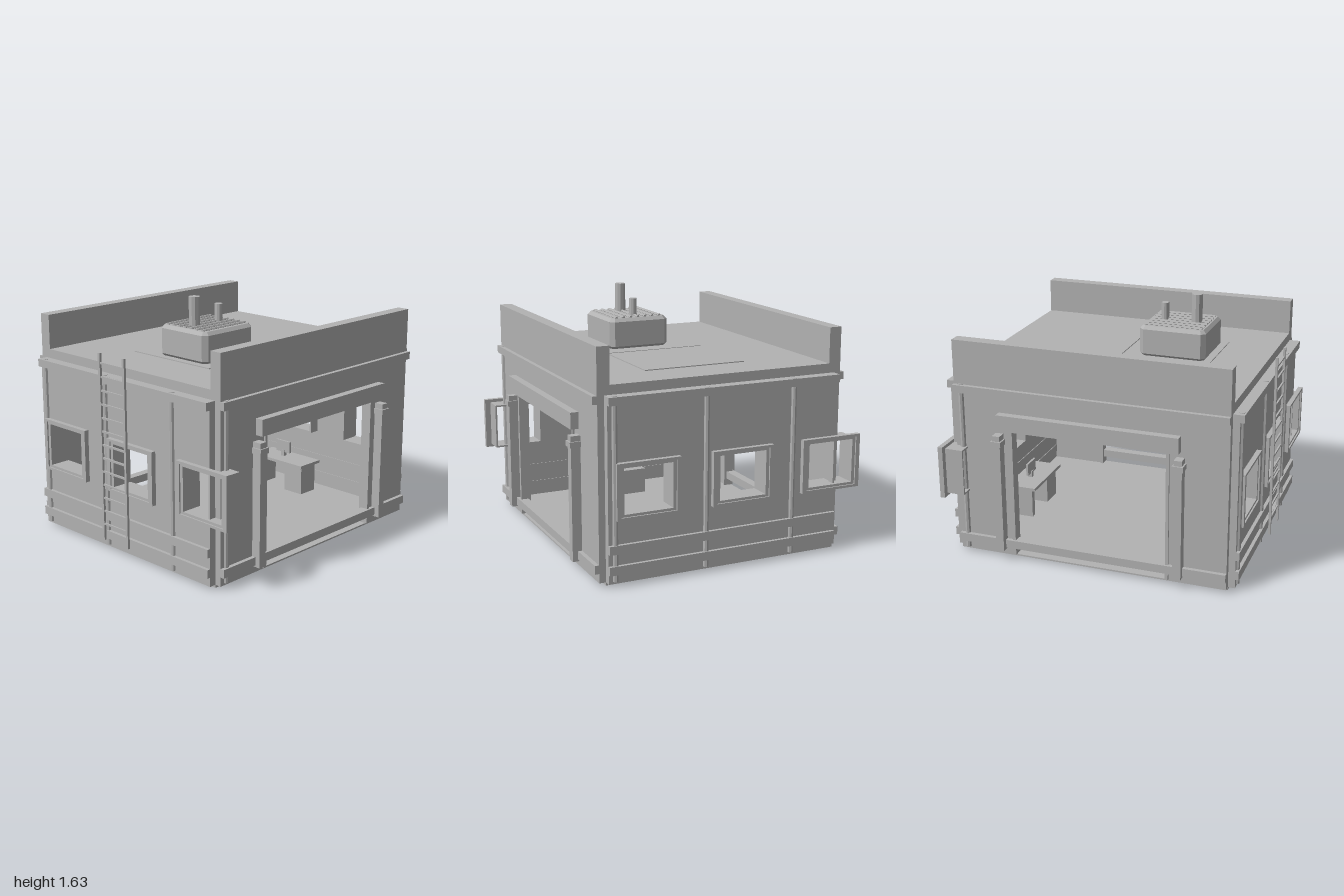
import * as THREE from 'three';

const grey = new THREE.MeshStandardMaterial({ color: 0xb2b2b2, flatShading: true });
grey.name = 'plain grey';

function add(parent, name, geometry) {
  const mesh = new THREE.Mesh(geometry, grey);
  mesh.name = name;
  parent.add(mesh);
  return mesh;
}

// Box given by its lower and upper limits on each axis
function box(parent, name, x0, x1, y0, y1, z0, z1) {
  const mesh = add(parent, name, new THREE.BoxGeometry(x1 - x0, y1 - y0, z1 - z0));
  mesh.position.set((x0 + x1) / 2, (y0 + y1) / 2, (z0 + z1) / 2);
  return mesh;
}

function post(parent, name, x, z, y0, y1, r, sides = 8) {
  const mesh = add(parent, name, new THREE.CylinderGeometry(r, r, y1 - y0, sides));
  mesh.position.set(x, (y0 + y1) / 2, z);
  return mesh;
}

function rect(Type, x0, x1, y0, y1) {
  return new Type([[x0, y0], [x1, y0], [x1, y1], [x0, y1]].map(p => new THREE.Vector2(...p)));
}

// Upright slab with rectangular holes; outline runs along z, thickness from xIn to xOut
function sideSlab(parent, name, outline, holes, xIn, xOut) {
  const shape = rect(THREE.Shape, ...outline);
  holes.forEach(h => shape.holes.push(rect(THREE.Path, ...h)));
  const mesh = add(parent, name, new THREE.ExtrudeGeometry(shape, { depth: xOut - xIn, bevelEnabled: false }));
  mesh.rotation.y = -Math.PI / 2;
  mesh.position.x = xOut;
  return mesh;
}

// Window: stepped frame outside and an open box running inward
function sideWindow(parent, z) {
  const g = new THREE.Group();
  g.name = 'window';
  parent.add(g);
  const hole = [z - 0.16, z + 0.16, 0.452, 0.738];
  sideSlab(g, 'outerFrame', [z - 0.21, z + 0.21, 0.42, 0.77], [[z - 0.182, z + 0.182, 0.436, 0.754]], 0.95, 0.982);
  sideSlab(g, 'innerFrame', [z - 0.182, z + 0.182, 0.436, 0.754], [hole], 0.95, 0.972);
  sideSlab(g, 'windowBox', [z - 0.172, z + 0.172, 0.441, 0.749], [hole], 0.83, 0.951);
}

// One side wall and one end wall; turned half round it gives the other two
function halfBuilding() {
  const g = new THREE.Group();
  const windows = [0.53, -0.107, -0.74];

  // Side wall
  sideSlab(g, 'sideWall', [-0.785, 0.785, 0.02, 1.17],
    windows.map(z => [Math.max(z - 0.165, -0.775), z + 0.165, 0.447, 0.743]), 0.905, 0.95);
  windows.forEach(z => sideWindow(g, z));
  box(g, 'sideTopTrim', 0.9, 0.977, 1.12, 1.17, -0.785, 0.785);
  for (const [y0, y1] of [[0.08, 0.135], [0.21, 0.265]])
    box(g, 'sideRail', 0.9, 0.972, y0, y1, -0.785, 0.785);
  for (const z of [0.74, 0.138, -0.468]) post(g, 'sidePipe', 0.95, z, 0.035, 1.173, 0.018);

  // End wall with its large doorway
  const wall = rect(THREE.Shape, -0.905, 0.905, 0.02, 1.17);
  wall.holes.push(rect(THREE.Path, -0.53, 0.53, 0.03, 0.905));
  add(g, 'endWall', new THREE.ExtrudeGeometry(wall, { depth: 0.045, bevelEnabled: false })).position.z = 0.783;
  box(g, 'endTopTrim', -0.905, 0.905, 1.12, 1.17, 0.78, 0.858);
  box(g, 'endRail', -0.905, 0.905, 0.08, 0.135, 0.79, 0.855);
  box(g, 'doorLintel', -0.6, 0.6, 0.905, 1.01, 0.8, 0.88);
  post(g, 'endPipe', -0.858, 0.828, 0.035, 1.173, 0.018);
  for (const s of [-1, 1]) {
    const x = s * 0.6;
    box(g, 'doorJamb', s * 0.52 - 0.01, s * 0.52 + 0.01, 0.03, 0.905, 0.77, 0.84);
    box(g, 'doorColumn', x - 0.027, x + 0.027, 0.07, 0.8, 0.8, 0.89);
    box(g, 'columnCap', x - 0.036, x + 0.036, 0.8, 0.835, 0.8, 0.9);
    box(g, 'columnTop', x - 0.026, x + 0.026, 0.835, 0.87, 0.8, 0.89);
  }

  // Parapet
  box(g, 'parapet', -0.905, 0.905, 1.23, 1.46, 0.748, 0.83);
  return g;
}

// Chamfered rooftop machine with ribs and two chimneys
function roofUnit() {
  const g = new THREE.Group();
  g.name = 'roofUnit';
  const w = 0.205, d = 0.19, c = 0.018;
  const outline = [[-w + c, -d], [w - c, -d], [w, -d + c], [w, d - c], [w - c, d], [-w + c, d], [-w, d - c], [-w, -d + c]];
  const body = add(g, 'unitBody', new THREE.ExtrudeGeometry(
    new THREE.Shape(outline.map(p => new THREE.Vector2(...p))),
    { depth: 0.165, bevelEnabled: true, bevelSegments: 1, bevelSize: 0.02, bevelThickness: 0.022 }));
  body.rotation.x = -Math.PI / 2;
  body.position.y = 0.022;
  for (let i = -3; i <= 3; i++) {
    const rib = add(g, 'unitRib', new THREE.CylinderGeometry(0.01, 0.01, 0.39, 6));
    rib.rotation.z = Math.PI / 2;
    rib.position.set(0, 0.211, i * 0.052);
  }
  post(g, 'tallChimney', -0.11, 0, 0.19, 0.4, 0.036, 10);
  post(g, 'shortChimney', 0.11, 0, 0.19, 0.325, 0.026, 10);
  g.position.set(-0.303, 1.23, 0.118);
  return g;
}

function ladder() {
  const g = new THREE.Group();
  g.name = 'ladder';
  for (const z of [-0.113, 0.113]) box(g, 'ladderRail', -1.018, -1.002, 0.09, 1.325, z - 0.009, z + 0.009);
  for (let i = 0; i < 13; i++) {
    const y = 0.2 + i * 0.0885;
    box(g, 'ladderRung', -1.015, -1.004, y - 0.006, y + 0.006, -0.113, 0.113);
  }
  return g;
}

// Desk by one wall, low chest by the other
function furniture() {
  const g = new THREE.Group();
  g.name = 'furniture';
  box(g, 'chest', -0.8, -0.62, 0.03, 0.21, -0.16, 0.29);
  box(g, 'deskTop', 0.61, 0.82, 0.235, 0.255, -0.3, 0.16);
  box(g, 'deskPedestal', 0.64, 0.79, 0.03, 0.235, -0.28, -0.24);
  box(g, 'deskDrawers', 0.64, 0.79, 0.03, 0.235, -0.02, 0.14);
  box(g, 'screenStand', 0.71, 0.74, 0.255, 0.3, -0.12, -0.09);
  box(g, 'screen', 0.715, 0.73, 0.285, 0.37, -0.17, -0.04);
  return g;
}

export function createModel() {
  const model = new THREE.Group();
  model.name = 'building';
  const building = new THREE.Group();
  building.name = 'garage';
  building.position.x = 0.018;
  model.add(building);

  box(building, 'floor', -0.905, 0.905, 0, 0.03, -0.785, 0.785);
  box(building, 'roof', -0.905, 0.905, 1.17, 1.23, -0.83, 0.83);
  for (const x of [-0.27, 0.335])
    box(building, 'roofPlate', x - 0.295, x + 0.295, 1.228, 1.236, -0.29, 0.4);

  for (let i = 0; i < 2; i++) {
    const half = halfBuilding();
    half.name = i ? 'rearHalf' : 'frontHalf';
    half.rotation.y = i * Math.PI;
    building.add(half);
  }
  building.add(roofUnit(), ladder(), furniture());
  return model;
}
